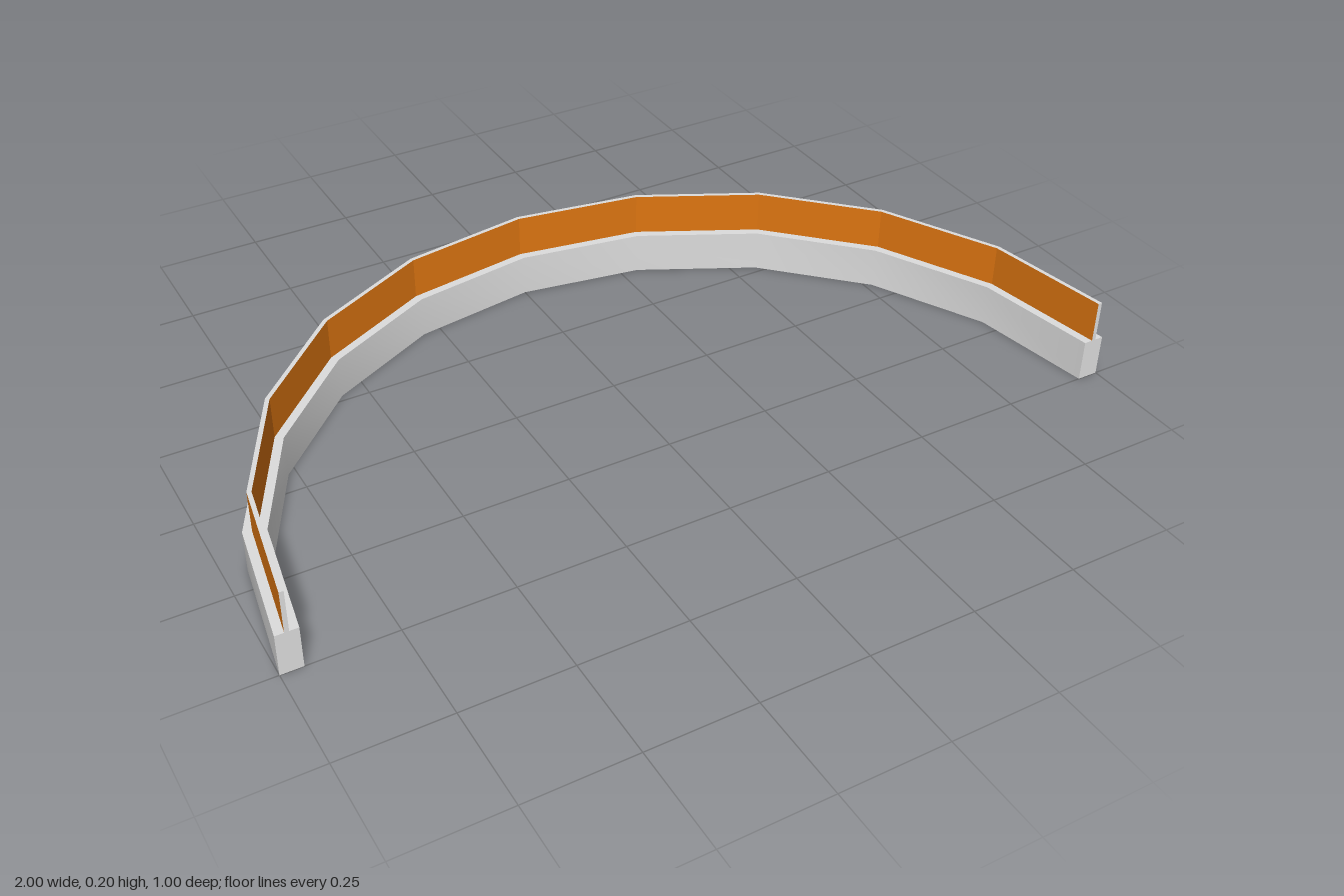
import * as THREE from 'three';
import { mergeGeometries } from 'three/addons/utils/BufferGeometryUtils.js';

const SEGMENTS = 10; // half circle in 18 degree steps
const CENTRE_Z = 0.5;

// Point on the arc at a radius, height and step
function arcPoint(r, y, i) {
  const a = (Math.PI * i) / SEGMENTS;
  return [r * Math.cos(a), y, CENTRE_Z - r * Math.sin(a)];
}

function makeGeometry(points, index) {
  const g = new THREE.BufferGeometry();
  g.setAttribute('position', new THREE.Float32BufferAttribute(points.flat(), 3));
  g.setIndex(index);
  g.computeVertexNormals();
  return g;
}

// Sweep one profile edge, from [r, y] to [r, y], around the arc
function strip(p, q) {
  const points = [];
  const index = [];
  for (let i = 0; i <= SEGMENTS; i++) {
    points.push(arcPoint(...p, i), arcPoint(...q, i));
    if (i < SEGMENTS) {
      const k = i * 2;
      index.push(k, k + 2, k + 1, k + 1, k + 2, k + 3);
    }
  }
  return makeGeometry(points, index);
}

// Close both front ends of a rectangular profile
function ends(profile) {
  return [
    makeGeometry(profile.map((p) => arcPoint(...p, 0)), [0, 1, 2, 0, 2, 3]),
    makeGeometry(profile.map((p) => arcPoint(...p, SEGMENTS)), [0, 2, 1, 0, 3, 2]),
  ];
}

// Counter-clockwise rectangle in radius and height
function rectangle(inner, outer, bottom, top) {
  return [[inner, bottom], [outer, bottom], [outer, top], [inner, top]];
}

export function createModel() {
  const group = new THREE.Group();
  group.name = 'curvedBarrier';

  const grey = new THREE.MeshStandardMaterial({ color: 0xdddddd });
  grey.name = 'light grey';
  const orange = new THREE.MeshStandardMaterial({ color: 0xdd7511 });
  orange.name = 'orange';

  function add(name, geometries, material) {
    const mesh = new THREE.Mesh(mergeGeometries(geometries), material);
    mesh.name = name;
    group.add(mesh);
  }

  // Low curved wall with smooth sides
  const wall = rectangle(0.95, 1, 0, 0.1);
  add('baseWall', [
    ...wall.map((p, i) => strip(p, wall[(i + 1) % 4])),
    ...ends(wall),
  ], grey);

  // Thin faceted panel standing along the middle of the wall
  const panel = rectangle(0.97, 0.98, 0.1, 0.2);
  const faceted = (p, q) => {
    const g = strip(p, q).toNonIndexed();
    g.computeVertexNormals();
    return g;
  };
  add('panelFaces', [faceted(panel[1], panel[2]), faceted(panel[3], panel[0])], orange);

  // Narrow top and end edges of the panel
  add('panelEdges', [strip(panel[2], panel[3]), ...ends(panel)], grey);

  return group;
}
